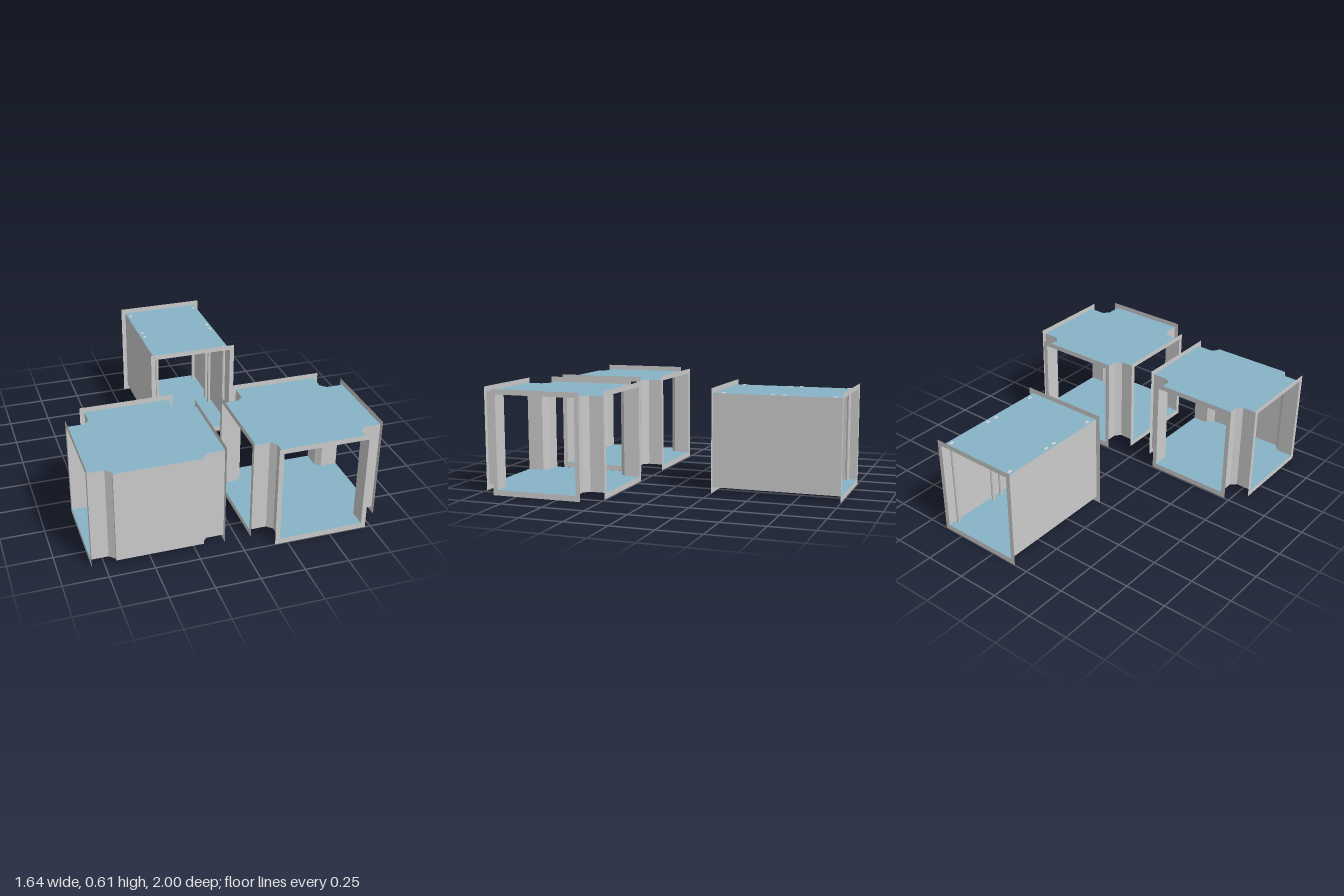
import * as THREE from 'three';

const HALF = 0.243;   // half width of a passage
const REACH = 0.372;  // centre to a doorway
const STUB = 0.29;    // centre to a closed end
const CUT = 0.274;    // where the corner chamfer starts
const FLOOR = 0.032, ROOF = 0.575, RIM = 0.027, TOP = 0.605;

const grey = new THREE.MeshStandardMaterial({ color: 0xcccccc, side: THREE.DoubleSide, flatShading: true });
const blue = new THREE.MeshStandardMaterial({ color: 0x87b3c7, side: THREE.DoubleSide, flatShading: true });

function add(parent, name, geometry, material) {
  const mesh = new THREE.Mesh(geometry, material);
  mesh.name = name;
  parent.add(mesh);
  return mesh;
}

// Vertical panel between two plan points [x, z]
function addWall(parent, name, [x1, z1], [x2, z2]) {
  const wall = add(parent, name, new THREE.PlaneGeometry(Math.hypot(x2 - x1, z2 - z1), ROOF - FLOOR), grey);
  wall.position.set((x1 + x2) / 2, (FLOOR + ROOF) / 2, (z1 + z2) / 2);
  wall.rotation.y = -Math.atan2(z2 - z1, x2 - x1);
}

// Floor and roof sheets cut to the plan outline
function addSheets(parent, outline) {
  const shape = new THREE.Shape(outline.map(([x, z]) => new THREE.Vector2(x, -z)));
  for (const [name, y] of [['floor', FLOOR], ['roof', ROOF]]) {
    const sheet = add(parent, name, new THREE.ShapeGeometry(shape).rotateX(-Math.PI / 2), blue);
    sheet.position.y = y;
  }
}

// Flat rectangular rim around a doorway; turn 0 faces +z
function addFrame(parent, turn) {
  const w = HALF + RIM;
  const shape = new THREE.Shape([[-w, 0], [w, 0], [w, TOP], [-w, TOP]].map(p => new THREE.Vector2(...p)));
  shape.holes.push(new THREE.Path([[-HALF, FLOOR], [-HALF, ROOF], [HALF, ROOF], [HALF, FLOOR]]
    .map(p => new THREE.Vector2(...p))));
  const frame = add(parent, 'doorFrame', new THREE.ShapeGeometry(shape).translate(0, 0, REACH), grey);
  frame.rotation.y = turn * Math.PI / 2;
}

// Crossing of passages; open lists the sides +z, +x, -z, -x
function makeJunction(name, open) {
  const group = new THREE.Group();
  group.name = name;
  const turnPoint = (i, [x, z]) => [[x, z], [z, -x], [-x, -z], [-z, x]][i];
  const outline = [];
  for (let i = 0; i < 4; i++) {
    const end = open[i] ? REACH : STUB;
    const arm = [[-HALF, CUT], [-HALF, end], [HALF, end], [HALF, CUT]].map(p => turnPoint(i, p));
    outline.push(...arm);
    addWall(group, 'sideWall', arm[0], arm[1]);
    addWall(group, 'sideWall', arm[2], arm[3]);
    if (open[i]) addFrame(group, i);
    else addWall(group, 'endWall', arm[1], arm[2]);
    addWall(group, 'cornerWall', arm[3], turnPoint((i + 1) % 4, [-HALF, CUT]));
  }
  addSheets(group, outline);
  return group;
}

// Straight passage with upright pipes along both walls
function makePassage() {
  const group = new THREE.Group();
  group.name = 'straightPassage';
  addSheets(group, [[-HALF, -REACH], [-HALF, REACH], [HALF, REACH], [HALF, -REACH]]);
  addFrame(group, 0);
  addFrame(group, 2);
  for (const side of [-1, 1]) {
    addWall(group, 'sideWall', [side * HALF, -REACH], [side * HALF, REACH]);
    for (const z of [-0.318, -0.032, 0.032, 0.318]) {
      const pipe = add(group, 'pipe', new THREE.CylinderGeometry(0.011, 0.011, ROOF - FLOOR, 8), grey);
      pipe.position.set(side * 0.22, (FLOOR + ROOF) / 2, z);
      const cap = add(group, 'pipeCap', new THREE.SphereGeometry(0.011, 8, 4, 0, Math.PI * 2, 0, Math.PI / 2), grey);
      cap.scale.set(1, 0.5, 1.5);
      cap.position.set(side * 0.22, ROOF, z);
    }
  }
  return group;
}

export function createModel() {
  const model = new THREE.Group();
  model.name = 'corridorModules';
  const parts = [
    [makeJunction('threeWayJunction', [false, true, true, true]), -0.448, 0.627],
    [makeJunction('fourWayJunction', [true, true, true, true]), 0.448, 0.627],
    [makePassage(), 0.107, -0.627],
  ];
  for (const [part, x, z] of parts) {
    part.position.set(x, 0, z);
    model.add(part);
  }
  return model;
}
